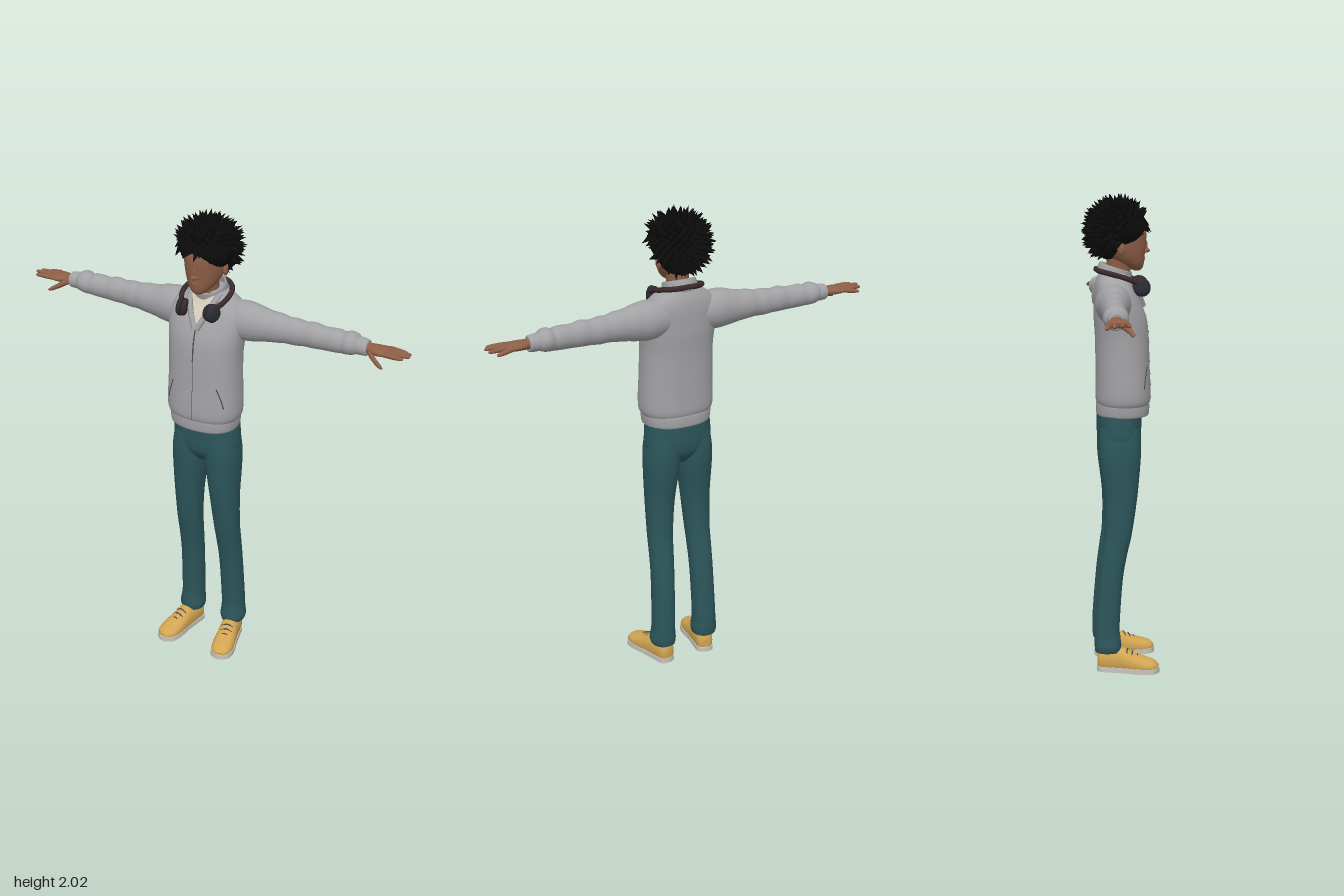
import * as THREE from 'three';
import { mergeGeometries } from 'three/addons/utils/BufferGeometryUtils.js';

const paint = (name, color) => Object.assign(new THREE.MeshStandardMaterial({ color }), { name });
const V = (x, y, z) => new THREE.Vector3(x, y, z);

// Catmull-Rom smoothing of every column of a cross-section list
function smooth(rows, k = 4) {
  const out = [];
  for (let i = 0; i < rows.length - 1; i++) {
    const [a, b, c, d] = [-1, 0, 1, 2].map(o => rows[Math.min(rows.length - 1, Math.max(0, i + o))]);
    for (let s = 0; s < k; s++) {
      const t = s / k;
      out.push(b.map((_, j) => b[j] + 0.5 * t * (c[j] - a[j]
        + t * (2 * a[j] - 5 * b[j] + 4 * c[j] - d[j] + t * (3 * (b[j] - c[j]) + d[j] - a[j])))));
    }
  }
  out.push(rows[rows.length - 1]);
  return out;
}

// Closed loft along an axis. Rows: axis y [y,x,z,rx,rz], axis x [x,y,z,ry,rz], axis z [z,x,y,rx,ry]
function loft(axis, rows, { n = 24, p = 2, k = 4 } = {}) {
  const rings = smooth(rows, k), pos = [], idx = [];
  const put = (t, a, b) => pos.push(...(axis === 'x' ? [t, a, b] : axis === 'y' ? [a, t, b] : [a, b, t]));
  const pw = v => Math.sign(v) * Math.abs(v) ** (2 / p);
  const ring = ([t, ca, cb, ra, rb]) => {
    for (let i = 0; i < n; i++) {
      const w = (i / n) * Math.PI * 2 * (axis === 'y' ? -1 : 1);
      put(t, ca + ra * pw(Math.cos(w)), cb + rb * pw(Math.sin(w)));
    }
  };
  rings.forEach(ring);
  for (let j = 0; j < rings.length - 1; j++) for (let i = 0; i < n; i++) {
    const a = j * n + i, b = j * n + (i + 1) % n;
    idx.push(a, b, b + n, a, b + n, a + n);
  }
  for (const [r, top] of [[rings[0], false], [rings[rings.length - 1], true]]) {
    const s = pos.length / 3;
    ring(r);
    put(r[0], r[1], r[2]);
    for (let i = 0; i < n; i++) {
      const a = s + i, b = s + (i + 1) % n;
      idx.push(...(top ? [a, b, s + n] : [b, a, s + n]));
    }
  }
  const g = new THREE.BufferGeometry();
  g.setAttribute('position', new THREE.Float32BufferAttribute(pos, 3));
  g.setIndex(idx);
  g.computeVertexNormals();
  return g;
}

function mirrored(geo) {
  const g = geo.clone().scale(-1, 1, 1), ix = g.index;
  const count = ix ? ix.count : g.attributes.position.count;
  const list = Array.from({ length: count }, (_, i) => (ix ? ix.getX(i) : i));
  for (let i = 0; i < count; i += 3) [list[i], list[i + 1]] = [list[i + 1], list[i]];
  g.setIndex(list);
  return g;
}

const tube = (pts, r, seg = 24) => new THREE.TubeGeometry(new THREE.CatmullRomCurve3(pts), seg, r, 8);
const ball = (x, y, z, rx, ry, rz) => new THREE.SphereGeometry(1, 24, 16).scale(rx, ry, rz).translate(x, y, z);

export function createModel() {
  const model = new THREE.Group();
  const grey = paint('jacket grey', 0xa2a2a5), dark = paint('seam charcoal', 0x4a4a50);
  const teal = paint('trouser teal', 0x2c565b), skin = paint('skin brown', 0x8e5f47);
  const black = paint('hair black', 0x0b0b0c), tan = paint('shoe tan', 0xd2a552);
  const cream = paint('shirt cream', 0xd8cfbd), rubber = paint('sole off white', 0xc8c5bc);
  const shell = paint('headphone slate', 0x2b2c35), band = paint('headphone brown', 0x3a2a2b);
  dark.side = cream.side = THREE.DoubleSide;
  const add = (name, geo, mat) => {
    const m = new THREE.Mesh(geo, mat);
    m.name = name;
    model.add(m);
  };
  const pair = (name, geo, mat) => {
    add('left' + name, geo, mat);
    add('right' + name, mirrored(geo), mat);
  };

  // Jacket body and hem
  const torso = [[1.14, 0, 0, .148, .106], [1.165, 0, 0, .16, .115], [1.22, 0, 0, .162, .115], [1.3, 0, -.002, .159, .113],
    [1.42, 0, -.005, .157, .112], [1.5, 0, -.012, .163, .11], [1.56, 0, -.022, .168, .1], [1.61, 0, -.033, .165, .088],
    [1.65, 0, -.04, .135, .075], [1.68, 0, -.04, .092, .064], [1.7, 0, -.038, .065, .055]];
  const P = 2.35, dense = smooth(torso, 8);
  add('jacketBody', loft('y', torso, { n: 40, p: P }), grey);
  add('jacketHem', loft('y', [[1.098, 0, -.002, .14, .104], [1.105, 0, -.002, .147, .111], [1.145, 0, -.001, .151, .111],
    [1.152, 0, 0, .146, .105]], { n: 40, p: P }), grey);

  // Point on the jacket front, slightly lifted
  const chest = (x, y, lift = .003) => {
    const j = Math.max(1, dense.findIndex(r => r[0] >= y)), a = dense[j - 1], b = dense[j], t = (y - a[0]) / (b[0] - a[0]);
    const [, , cz, rx, rz] = a.map((v, i) => v + (b[i] - v) * t);
    return V(x, y, cz + rz * (1 - Math.min(1, Math.abs(x / rx)) ** P) ** (1 / P) + lift);
  };
  const patch = (y0, y1, w0, w1, lift) => {
    const g = new THREE.PlaneGeometry(1, 1, 8, 24), q = g.attributes.position;
    for (let i = 0; i < q.count; i++) {
      const t = q.getY(i) + .5, c = chest(q.getX(i) * 2 * (w0 + (w1 - w0) * t), y0 + (y1 - y0) * t, lift);
      q.setXYZ(i, c.x, c.y, c.z);
    }
    g.computeVertexNormals();
    return g;
  };
  add('shirtFront', patch(1.555, 1.685, .002, .05, .004), cream);
  add('zip', patch(1.42, 1.555, .003, .003, .003), dark);
  add('frontSeam', patch(1.155, 1.42, .0012, .0012, .0025), dark);
  pair('Pocket', tube([chest(.128, 1.22, 0), chest(.118, 1.26, 0), chest(.1, 1.31, 0)], .0025), dark);
  pair('Lapel', tube([chest(.004, 1.552, .003), chest(.028, 1.6, .006), chest(.048, 1.645, .008), V(.066, 1.685, -.005)], .012), grey);

  // Stand-up collar, higher behind
  const collar = new THREE.LatheGeometry([[.06, -.035], [.076, -.03], [.07, .012], [.066, .016], [.061, .012], [.058, -.03]]
    .map(([r, y]) => new THREE.Vector2(r, y)), 36);
  add('collar', collar.scale(1, 1, 1.02).rotateX(.32).translate(0, 1.7, -.034), grey);

  // Sleeves with soft folds, cuffs
  pair('Sleeve', loft('x', [[.06, 1.575, -.05, .07, .06], [.15, 1.575, -.05, .083, .074], [.21, 1.574, -.05, .078, .066],
    [.26, 1.572, -.053, .067, .058], [.31, 1.573, -.055, .062, .054], [.345, 1.571, -.057, .056, .048], [.38, 1.571, -.059, .057, .048],
    [.42, 1.57, -.061, .052, .043], [.46, 1.573, -.061, .054, .046], [.5, 1.57, -.062, .049, .042], [.56, 1.572, -.064, .049, .045],
    [.585, 1.57, -.065, .045, .043], [.61, 1.574, -.066, .048, .05], [.635, 1.574, -.067, .043, .046], [.65, 1.572, -.067, .033, .033]]), grey);
  pair('Cuff', loft('x', [[.642, 1.571, -.067, .031, .031], [.648, 1.571, -.067, .036, .035], [.683, 1.57, -.067, .034, .033],
    [.69, 1.57, -.067, .029, .029]]), grey);

  // Hands: palm, four fingers, thumb
  const hand = [loft('x', [[.67, 1.57, -.067, .02, .025], [.7, 1.57, -.067, .02, .028], [.735, 1.57, -.066, .018, .04],
    [.775, 1.571, -.067, .014, .043], [.79, 1.571, -.067, .008, .036]])];
  for (const [z0, z1, x1, y1] of [[-.1, -.112, .838, 1.56], [-.078, -.086, .862, 1.57], [-.056, -.058, .868, 1.574], [-.035, -.03, .85, 1.572]]) {
    const row = (t, r) => [.765 + (x1 - .765) * t, 1.572 + (y1 - 1.572) * t, z0 + (z1 - z0) * t, r, r];
    hand.push(loft('x', [row(0, .01), row(.4, .0105), row(.7, .009), row(.93, .0065), row(1, .001)], { n: 10, k: 2 }));
  }
  hand.push(loft('x', [[.695, 1.563, -.055, .012, .016], [.715, 1.555, -.038, .014, .016], [.738, 1.542, -.022, .012, .011],
    [.762, 1.53, -.012, .009, .009], [.776, 1.524, -.009, .002, .002]], { n: 12, k: 3 }));
  pair('Hand', mergeGeometries(hand), skin);

  // Trousers
  add('trouserHips', loft('y', [[.925, 0, -.017, .06, .05], [.965, 0, -.017, .125, .08], [1.0, 0, -.017, .148, .091],
    [1.05, 0, -.017, .148, .094], [1.12, 0, -.015, .142, .094]], { n: 36, p: 2.3 }), teal);
  pair('TrouserLeg', loft('y', [[.085, .102, -.07, .05, .054], [.11, .103, -.07, .056, .057], [.15, .102, -.072, .051, .055],
    [.2, .101, -.073, .05, .053], [.4, .096, -.058, .05, .052], [.52, .093, -.04, .052, .055], [.6, .091, -.026, .054, .059],
    [.75, .086, -.015, .061, .07], [.9, .079, -.017, .073, .086], [.98, .076, -.017, .075, .089], [1.05, .07, -.017, .07, .085]],
  { n: 28, p: 2.2 }), teal);

  // Shoes, toes turned out
  const place = g => g.rotateY(.2).translate(.118, 0, .012);
  const upper = loft('z', [[-.128, 0, .04, .014, .02], [-.115, 0, .046, .034, .048], [-.07, 0, .048, .04, .056], [-.02, 0, .046, .042, .055],
    [.03, 0, .036, .046, .044], [.08, 0, .028, .048, .034], [.115, 0, .025, .038, .025], [.132, 0, .022, .018, .012]], { p: 2.2 });
  const up = upper.attributes.position;
  for (let i = 0; i < up.count; i++) up.setY(i, Math.max(.012, up.getY(i)));
  pair('ShoeUpper', place(upper), tan);
  const outline = new THREE.Shape(new THREE.SplineCurve([[0, .132], [.034, .118], [.04, .06], [.044, 0], [.051, -.07], [.04, -.118], [0, -.138],
    [-.04, -.118], [-.051, -.07], [-.042, 0], [-.04, .06], [-.034, .118], [0, .132]].map(q => new THREE.Vector2(...q))).getPoints(48));
  pair('ShoeSole', place(new THREE.ExtrudeGeometry(outline, { depth: .022, bevelEnabled: false }).rotateX(-Math.PI / 2)), rubber);
  const laces = [[.0, .096], [.022, .086], [.044, .075]].map(([z, y]) =>
    tube([V(-.026, y - .012, z), V(0, y, z), V(.026, y - .012, z)], .003, 8));
  pair('Laces', place(mergeGeometries(laces)), dark);

  // Neck, head, nose, lips, ears
  add('neck', loft('y', [[1.6, 0, -.025, .055, .055], [1.66, 0, -.022, .047, .049], [1.7, 0, -.018, .045, .05], [1.77, 0, -.015, .05, .055]]), skin);
  add('head', loft('y', [[1.7, 0, .058, .014, .014], [1.712, 0, .047, .034, .035], [1.735, 0, .026, .055, .062], [1.77, 0, .004, .073, .087],
    [1.81, 0, -.007, .082, .102], [1.86, 0, -.01, .086, .106], [1.91, 0, -.015, .08, .095], [1.955, 0, -.02, .045, .05]], { n: 32 }), skin);
  add('nose', mergeGeometries([ball(0, 1.782, .096, .011, .01, .016), ball(0, 1.803, .091, .008, .026, .011),
    ball(.01, 1.779, .09, .008, .007, .009), ball(-.01, 1.779, .09, .008, .007, .009)]), skin);
  add('lips', mergeGeometries([ball(0, 1.753, .083, .02, .006, .01), ball(0, 1.744, .081, .017, .006, .01)]), skin);
  pair('Ear', ball(.085, 1.795, -.012, .009, .027, .017).rotateY(0), skin);

  // Hair: cap, nape and swept curly locks
  add('hairCap', mergeGeometries([ball(0, 1.88, -.02, .118, .1, .113), ball(0, 1.832, -.058, .104, .088, .068)]), black);
  let seed = 7;
  const rnd = () => (seed = (seed * 16807) % 2147483647) / 2147483647;
  const locks = [], N = 330;
  for (let i = 0; i < N; i++) {
    const y = 1 - 2 * (i + .5) / N, r = Math.sqrt(1 - y * y), a = i * 2.39996;
    const d = V(r * Math.cos(a), y, r * Math.sin(a));
    const rand = [rnd(), rnd(), rnd(), rnd()];
    if (d.y < -.9 || (d.z > .05 && d.y < .08) || (d.z > -.3 && d.y < -.6)) continue;
    const len = .045 + .022 * rand[0], g = new THREE.ConeGeometry(.019, len, 6, 3), q = g.attributes.position;
    for (let v = 0; v < q.count; v++) {
      const t = q.getY(v) / len + .5;
      q.setX(v, q.getX(v) + .022 * t * t * (rand[1] - .3));
    }
    g.computeVertexNormals();
    const fringe = d.z > .3 && d.y < .45;
    const aim = d.clone().add(V((rand[2] - .5) * .7, fringe ? -1.1 : (rand[3] - .5) * .6, fringe ? 0 : -.22)).normalize();
    g.translate(0, len * .3, 0).applyQuaternion(new THREE.Quaternion().setFromUnitVectors(V(0, 1, 0), aim));
    const low = Math.max(0, -d.y);
    locks.push(g.translate(d.x * .108, 1.876 + d.y * .092 - low * .02, -.022 + d.z * .106 - low * .02));
  }
  add('hairLocks', mergeGeometries(locks), black);

  // Headphones resting round the neck
  add('headphoneBand', tube([V(.078, 1.65, .06), V(.098, 1.672, .015), V(.092, 1.692, -.055), V(.055, 1.702, -.1), V(0, 1.706, -.112),
    V(-.055, 1.702, -.1), V(-.092, 1.692, -.055), V(-.098, 1.672, .015), V(-.078, 1.65, .06)], .011, 48), band);
  const cup = (prof, x) => new THREE.LatheGeometry(prof.map(q => new THREE.Vector2(...q)), 28)
    .rotateZ(-Math.PI / 2).rotateY(-.3).rotateZ(.15).translate(x, 1.634, .072);
  pair('EarCup', cup([[0, -.002], [.037, -.002], [.038, .008], [.031, .018], [.02, .022], [0, .023]], .068), shell);
  pair('EarCushion', cup([[0, -.022], [.024, -.022], [.034, -.017], [.036, -.008], [.033, 0], [0, 0]], .068), band);
  return model;
}
